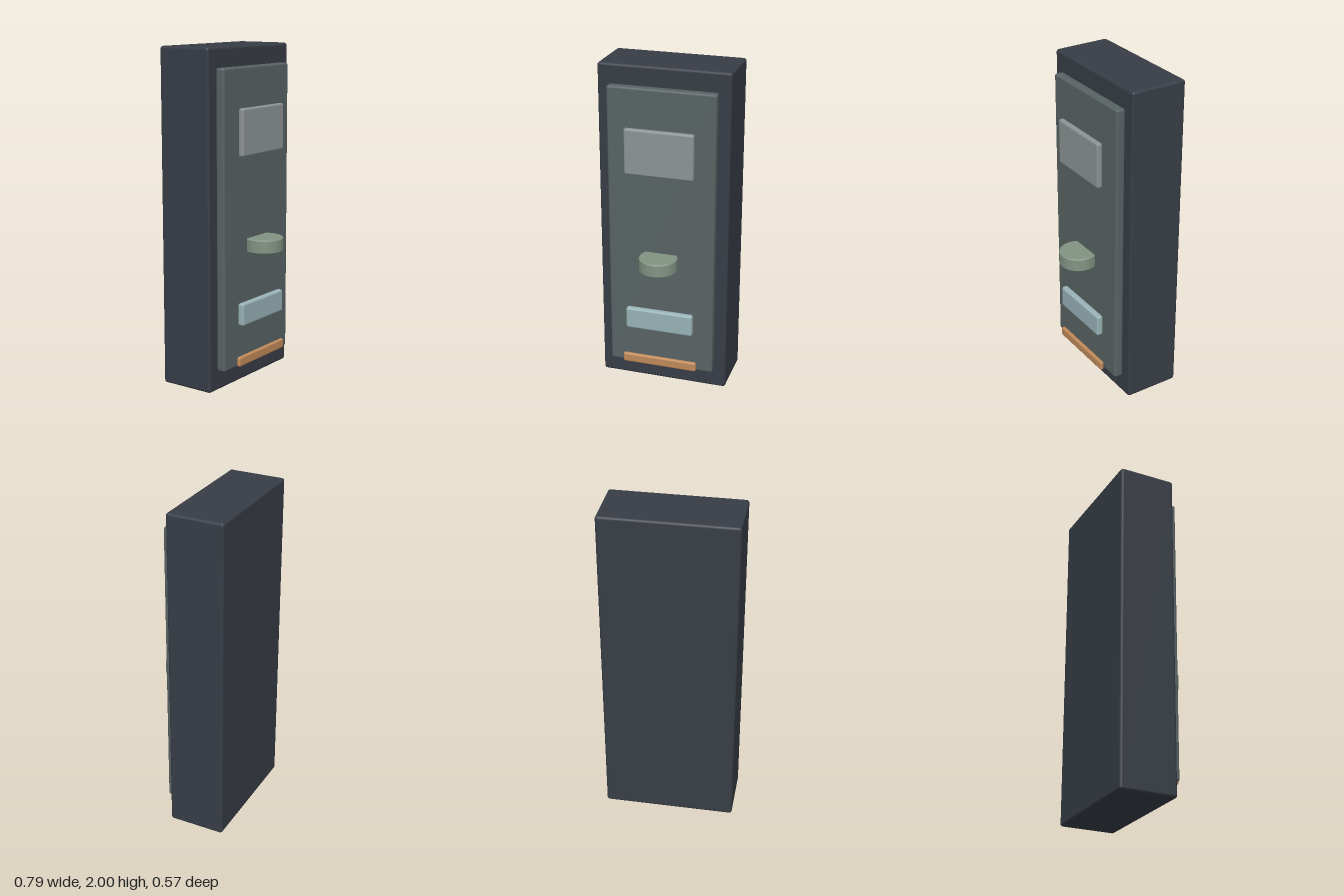
import * as THREE from 'three';
import { RoundedBoxGeometry } from 'three/addons/geometries/RoundedBoxGeometry.js';

const mat = (name, color) => {
  const m = new THREE.MeshStandardMaterial({ color });
  m.name = name;
  return m;
};

export function createModel() {
  const model = new THREE.Group();
  model.name = 'wallCabinet';

  const charcoal = mat('charcoal', 0x383d46);
  const slate = mat('slate', 0x596364);
  const grey = mat('grey', 0x8d9395);
  const paleBlue = mat('paleBlue', 0x98b3b7);
  const copper = mat('copper', 0xc08a5a);
  const sage = mat('sage', 0x829483);

  // Rounded block centred on x, given by half width and y / z ranges
  const block = (name, material, halfW, y0, y1, z0, z1, radius) => {
    const geo = new RoundedBoxGeometry(halfW * 2, y1 - y0, z1 - z0, 3, radius);
    const mesh = new THREE.Mesh(geo, material);
    mesh.name = name;
    mesh.position.set(0, (y0 + y1) / 2, (z0 + z1) / 2);
    model.add(mesh);
  };

  // Cabinet and its front panel
  block('cabinetBody', charcoal, 0.395, 0, 2, -0.285, 0.061, 0.016);
  block('frontPanel', slate, 0.325, 0.12, 1.885, 0.058, 0.115, 0.014);

  // Plates standing just clear of the panel
  block('screen', grey, 0.208, 1.378, 1.655, 0.128, 0.164, 0.013);
  block('label', paleBlue, 0.208, 0.38, 0.515, 0.125, 0.166, 0.013);
  block('footBar', copper, 0.232, 0.135, 0.195, 0.133, 0.159, 0.012);

  // Round shelf with a fine bevel, set partly into the panel
  const r = 0.115, h = 0.0415, b = 0.005;
  const profile = [
    [0, -h], [r - b - 0.002, -h], [r - b, -h], [r, -h + b], [r, -h + b + 0.002],
    [r, h - b - 0.002], [r, h - b], [r - b, h], [r - b - 0.002, h], [0, h],
  ].map(([x, y]) => new THREE.Vector2(x, y));
  const shelf = new THREE.Mesh(new THREE.LatheGeometry(profile, 20), sage);
  shelf.name = 'roundShelf';
  shelf.position.set(0, 0.842, 0.167);
  model.add(shelf);

  return model;
}
